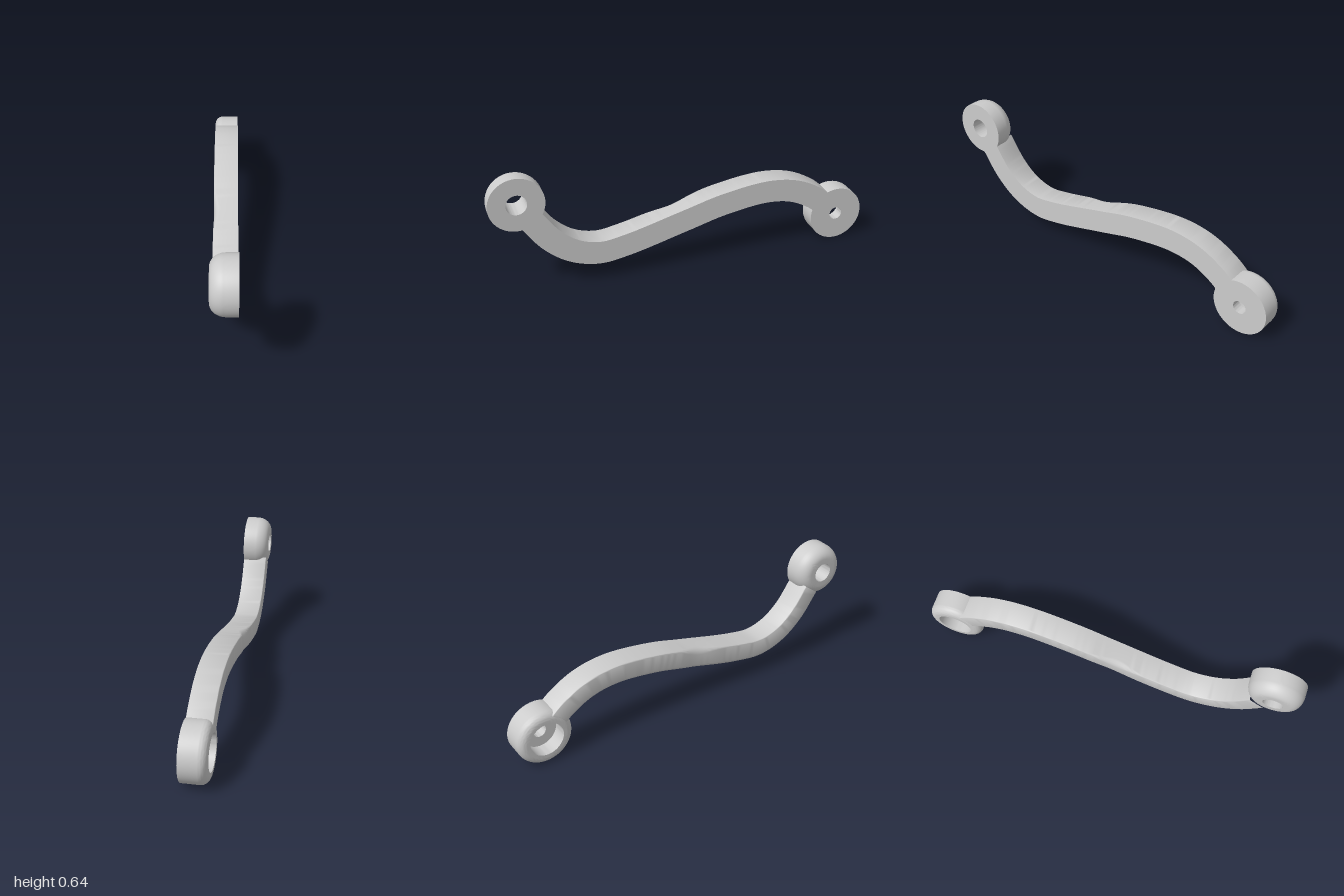
import * as THREE from 'three';
import { toCreasedNormals } from 'three/addons/utils/BufferGeometryUtils.js';

const X = 0.065; // half thickness; the flat face lies on +x
const material = new THREE.MeshStandardMaterial({ color: 0xcccccc });

function part(name, geometry, crease) {
  const mesh = new THREE.Mesh(toCreasedNormals(geometry, crease), material);
  mesh.name = name;
  return mesh;
}

// Ring with one rounded outer rim; optional counterbore on the rounded side
function hub(name, z, y, r, hole, roundX, roundR, bore, depth) {
  const V = (a, b) => new THREE.Vector2(a, b);
  const pts = [V(hole, -X), V(r, -X)];
  for (let i = 0; i <= 10; i++) {
    const a = (i / 10) * Math.PI / 2;
    pts.push(V(r - roundR + roundR * Math.cos(a), X - roundX + roundX * Math.sin(a)));
  }
  if (bore) pts.push(V(bore, X), V(bore, X - depth), V(hole, X - depth));
  else pts.push(V(hole, X));
  pts.push(V(hole, -X));
  const g = new THREE.LatheGeometry(pts, 64);
  g.rotateZ(Math.PI / 2);
  const mesh = part(name, g, 0.6);
  mesh.position.set(0, y, z);
  return mesh;
}

// Cross-section (x, n): flat on +x, softly rounded below on -x, slight bevel above
function section(bump) {
  const h = 0.0625, pts = [[X, -h], [X, h]];
  const top = 0.008 + 0.025 * bump, low = 0.035;
  const left = -X + 0.003 + 0.004 * bump;
  for (let i = 0; i <= 4; i++) {
    const a = Math.PI / 2 + (i / 4) * Math.PI / 2;
    pts.push([left + top + top * Math.cos(a), h - top + top * Math.sin(a)]);
  }
  for (let i = 0; i <= 8; i++) {
    const a = Math.PI + (i / 8) * Math.PI / 2;
    pts.push([left + 0.085 + 0.085 * Math.cos(a), -h + low + low * Math.sin(a)]);
  }
  return pts;
}

// S-shaped arm swept along its centre line
function arm() {
  const line = [[0.8, 0.41], [0.7, 0.277], [0.59, 0.195], [0.46, 0.16], [0.32, 0.178],
    [0, 0.262], [-0.2, 0.315], [-0.45, 0.347], [-0.6, 0.325], [-0.72, 0.265], [-0.775, 0.22]];
  const curve = new THREE.CatmullRomCurve3(line.map(([z, y]) => new THREE.Vector3(0, y, z)));
  const N = 90, pos = [], idx = [];
  let M = 0;
  for (let i = 0; i <= N; i++) {
    const p = curve.getPointAt(i / N), t = curve.getTangentAt(i / N);
    const ring = section(Math.exp(-(((p.z - 0.04) / 0.09) ** 2)));
    M = ring.length;
    for (const [x, n] of ring) pos.push(x, p.y - t.z * n, p.z + t.y * n);
  }
  for (let i = 0; i < N; i++) {
    for (let j = 0; j < M; j++) {
      const a = i * M + j, b = i * M + (j + 1) % M, c = a + M, d = b + M;
      idx.push(a, c, b, b, c, d);
    }
  }
  const g = new THREE.BufferGeometry();
  g.setAttribute('position', new THREE.Float32BufferAttribute(pos, 3));
  g.setIndex(idx);
  return part('curvedArm', g, 0.6);
}

export function createModel() {
  const group = new THREE.Group();
  group.name = 'curvedLinkArm';
  group.add(
    hub('frontHub', 0.86, 0.5, 0.14, 0.052, 0.075, 0.06),
    hub('rearHub', -0.853, 0.148, 0.147, 0.035, 0.04, 0.04, 0.09, 0.08),
    arm(),
  );
  return group;
}
